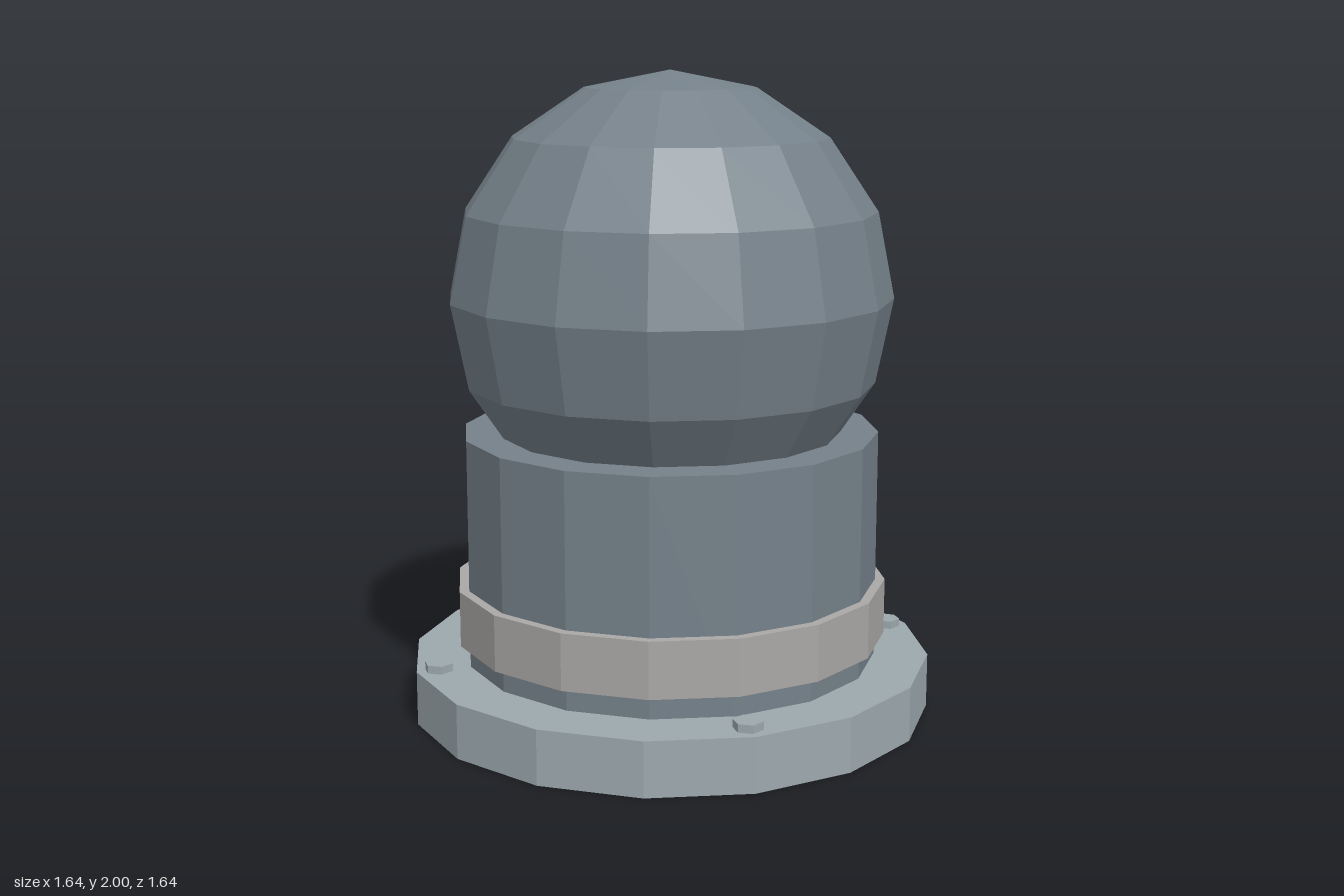
import * as THREE from 'three';

const SIDES = 16;

const steel = (color) => new THREE.MeshStandardMaterial({ color, flatShading: true });

// Faceted ring with a rectangular section
function ring(name, inner, outer, y0, y1, material) {
  const profile = [[inner, y0], [outer, y0], [outer, y1], [inner, y1], [inner, y0]]
    .map(([r, y]) => new THREE.Vector2(r, y));
  const mesh = new THREE.Mesh(new THREE.LatheGeometry(profile, SIDES), material);
  mesh.name = name;
  return mesh;
}

export function createModel() {
  const model = new THREE.Group();
  model.name = 'domedPipeCap';
  const dark = steel(0x75818a);
  const light = steel(0x9ca8ae);
  const warm = steel(0xaaa8a6);

  // Open base flange, pipe and clamp band
  model.add(ring('flange', 0.53, 0.82, 0, 0.17, light));
  model.add(ring('pipe', 0.53, 0.65, 0.17, 0.89, dark));
  model.add(ring('band', 0.64, 0.68, 0.24, 0.415, warm));

  // Faceted ball sitting in the pipe mouth
  const ball = new THREE.Mesh(new THREE.SphereGeometry(0.69, SIDES, 8), dark);
  ball.name = 'ball';
  ball.position.y = 1.31;
  model.add(ball);

  // Four hexagonal bolts on the flange
  const bolts = new THREE.Group();
  bolts.name = 'bolts';
  const head = new THREE.CylinderGeometry(0.045, 0.045, 0.035, 6);
  for (let i = 0; i < 4; i++) {
    const a = i * Math.PI / 2;
    const bolt = new THREE.Mesh(head, light);
    bolt.name = 'bolt';
    bolt.position.set(0.75 * Math.sin(a), 0.1775, 0.75 * Math.cos(a));
    bolts.add(bolt);
  }
  model.add(bolts);
  return model;
}
